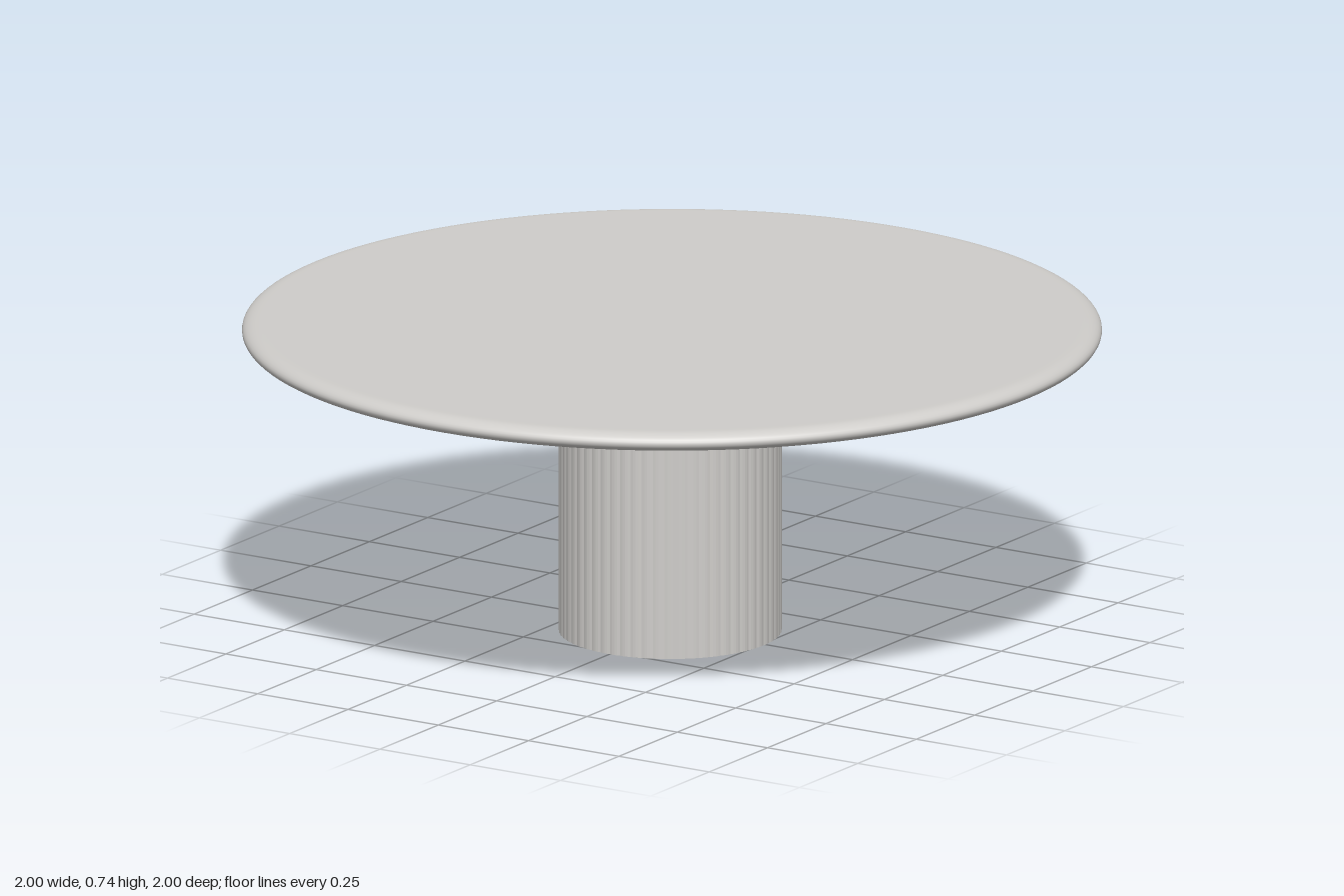
import * as THREE from 'three';

export function createModel() {
  const model = new THREE.Group();
  const stone = new THREE.MeshStandardMaterial({ color: 0xcfcdca });
  stone.name = 'warmGrey';

  // Round top with a soft bullnose rim
  const bottom = 0.698, top = 0.743, rim = 0.04;
  const half = (top - bottom) / 2, mid = (top + bottom) / 2;
  const profile = [new THREE.Vector2(0, bottom), new THREE.Vector2(0.95, bottom)];
  for (let i = 0; i <= 14; i++) {
    const a = -Math.PI / 2 + (i / 14) * Math.PI;
    profile.push(new THREE.Vector2(1 - rim + rim * Math.cos(a), mid + half * Math.sin(a)));
  }
  profile.push(new THREE.Vector2(0.95, top), new THREE.Vector2(0, top));
  const tableTop = new THREE.Mesh(new THREE.LatheGeometry(profile, 128), stone);
  tableTop.name = 'tableTop';
  model.add(tableTop);

  // Pedestal with fine, shallow vertical ribs
  const ribs = 60, steps = 4, outline = [];
  for (let i = 0; i < ribs * steps; i++) {
    const a = (i / (ribs * steps)) * Math.PI * 2;
    const r = 0.258 + 0.002 * Math.abs(Math.sin((a * ribs) / 2));
    outline.push(new THREE.Vector2(r * Math.cos(a), r * Math.sin(a)));
  }
  const column = new THREE.ExtrudeGeometry(new THREE.Shape(outline), { depth: 0.7, bevelEnabled: false });
  column.rotateX(-Math.PI / 2);
  const pedestal = new THREE.Mesh(column, stone);
  pedestal.name = 'pedestal';
  pedestal.position.z = 0.008;
  model.add(pedestal);

  return model;
}
